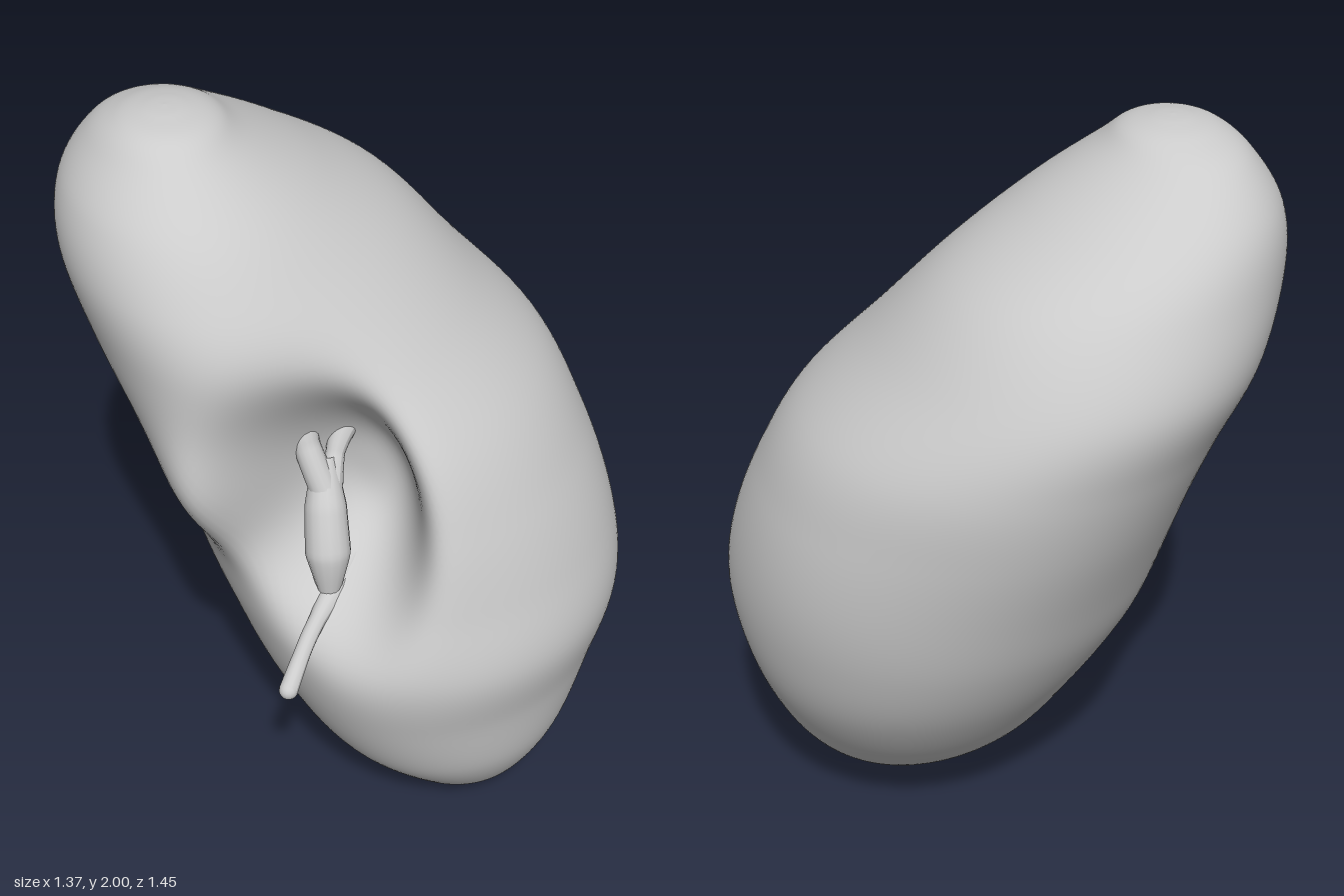
import * as THREE from 'three';

const mat = new THREE.MeshStandardMaterial({ color: 0xcccccc, side: THREE.DoubleSide });

// Horizontal slices of the body: [y, xMin, xMax, zMin, zMax]
const slices = [
  [0, 0.15, 0.15, 0.36, 0.36],
  [0.006, 0.08, 0.22, 0.28, 0.43],
  [0.035, -0.01, 0.3, 0.18, 0.5],
  [0.11, -0.12, 0.41, 0, 0.57],
  [0.25, -0.25, 0.52, -0.17, 0.64],
  [0.45, -0.35, 0.62, -0.33, 0.68],
  [0.65, -0.41, 0.67, -0.45, 0.72],
  [0.85, -0.45, 0.68, -0.54, 0.68],
  [1.05, -0.51, 0.65, -0.62, 0.62],
  [1.25, -0.58, 0.58, -0.68, 0.53],
  [1.45, -0.63, 0.42, -0.725, 0.38],
  [1.65, -0.67, 0.25, -0.68, 0.22],
  [1.8, -0.645, 0.03, -0.61, 0.1],
  [1.92, -0.565, -0.17, -0.49, -0.03],
  [1.975, -0.505, -0.25, -0.38, -0.1],
  [1.995, -0.435, -0.32, -0.3, -0.18],
  [2, -0.38, -0.38, -0.24, -0.24],
];

// Soft swellings and dips of the surface: [centre, push, radius]
const swellings = [
  [[-0.55, 1.52, 0.1], [-0.04, 0, 0.05], 0.35],   // upper lobe
  [[-0.56, 1.1, 0.14], [-0.08, 0, 0.07], 0.19],   // rear lip
  [[-0.3, 0.5, 0.55], [-0.02, 0, 0.02], 0.3],     // lower lobe
  [[-0.27, 0.75, -0.3], [-0.035, 0, -0.035], 0.33], // rear face
  [[0, 0.25, -0.02], [-0.02, 0, -0.02], 0.25],    // lower rear face
  [[0.45, 1.02, -0.4], [-0.025, 0, 0.025], 0.38], // outer rear edge
  [[0.52, 0.75, 0.5], [0.015, 0, 0.015], 0.3],    // outer front edge
].map(([c, d, r]) => ({ centre: new THREE.Vector3(...c), push: new THREE.Vector3(...d), r }));

// Apply the swellings, then press the hollow into the inner side of the body
function sculpt(p) {
  const start = p.clone();
  for (const { centre, push, r } of swellings) {
    p.addScaledVector(push, Math.exp(-start.distanceToSquared(centre) / (r * r)));
  }
  const h = start.y - 1.1;
  const dx = start.x + 0.39 - h * 0.1;
  const dz = start.z - 0.39 + h * 0.3;
  const q = (dx * dx + dz * dz) / 0.05 + (h * h) / 0.105;
  const depth = 0.37 * Math.exp(-Math.pow(q, 1.5));
  p.x += depth * 0.86;
  p.z -= depth * 0.51;
  return p;
}

function bodyGeometry(rows = 144, cols = 160) {
  const spline = (i, j) => new THREE.CatmullRomCurve3(
    slices.map(s => new THREE.Vector3(s[i], s[0], s[j])), false, 'catmullrom', 0.5);
  const xs = spline(1, 2), zs = spline(3, 4);
  const skew = THREE.MathUtils.degToRad(95); // widens each oval along one diagonal
  const pos = [], index = [];
  for (let r = 0; r <= rows; r++) {
    const a = xs.getPoint(r / rows), b = zs.getPoint(r / rows);
    for (let c = 0; c < cols; c++) {
      const t = (c / cols) * Math.PI * 2;
      const p = sculpt(new THREE.Vector3(
        (a.x + a.z) / 2 + (a.z - a.x) / 2 * Math.cos(t),
        a.y,
        (b.x + b.z) / 2 + (b.z - b.x) / 2 * Math.cos(t - skew)));
      pos.push(p.x, p.y, p.z);
      if (r < rows) {
        const i = r * cols + c, n = r * cols + (c + 1) % cols;
        index.push(i, i + cols, n, n, i + cols, n + cols);
      }
    }
  }
  const g = new THREE.BufferGeometry();
  g.setAttribute('position', new THREE.Float32BufferAttribute(pos, 3));
  g.setIndex(index);
  g.computeVertexNormals();
  return g;
}

// Tube whose radius runs through a list of values along its path
function taperedTube(points, radii, segs = 32, sides = 16) {
  const path = new THREE.CatmullRomCurve3(points.map(p => new THREE.Vector3(...p)));
  const g = new THREE.TubeGeometry(path, segs, 1, sides, false);
  const pos = g.attributes.position, v = new THREE.Vector3();
  for (let i = 0; i < pos.count; i++) {
    const t = Math.floor(i / (sides + 1)) / segs;
    const f = t * (radii.length - 1), k = Math.min(Math.floor(f), radii.length - 2);
    const radius = THREE.MathUtils.lerp(radii[k], radii[k + 1], f - k);
    const centre = path.getPointAt(t);
    v.fromBufferAttribute(pos, i).sub(centre).multiplyScalar(radius).add(centre);
    pos.setXYZ(i, v.x, v.y, v.z);
  }
  g.computeVertexNormals();
  return g;
}

export function createModel() {
  const group = new THREE.Group();
  const add = (name, geometry) => {
    const mesh = new THREE.Mesh(geometry, mat);
    mesh.name = name;
    group.add(mesh);
    return mesh;
  };

  add('body', bodyGeometry());

  // Funnel inside the hollow, with two short branches
  add('funnel', taperedTube(
    [[-0.22, 1.14, 0.2], [-0.25, 1.02, 0.25], [-0.27, 0.9, 0.29], [-0.28, 0.78, 0.31]],
    [0.03, 0.055, 0.06, 0.025]));
  add('upperBranch', taperedTube(
    [[-0.24, 1.32, 0.1], [-0.26, 1.2, 0.17], [-0.24, 1.04, 0.25]], [0.06, 0.035, 0.04]));
  add('innerBranch', taperedTube(
    [[-0.12, 1.24, 0.18], [-0.18, 1.16, 0.2], [-0.24, 1.04, 0.25]], [0.04, 0.025, 0.035]));

  // Thin duct leaving the hollow, closed at its tip
  const tip = [-0.5, 0.67, 0.45];
  add('duct', taperedTube(
    [[-0.18, 0.85, 0.27], [-0.25, 0.8, 0.3], [-0.38, 0.74, 0.37], [-0.44, 0.71, 0.41], tip],
    [0.03, 0.035, 0.023, 0.022, 0.025]));
  const cap = add('ductTip', new THREE.SphereGeometry(0.025, 16, 10));
  cap.position.set(...tip);

  return group;
}
